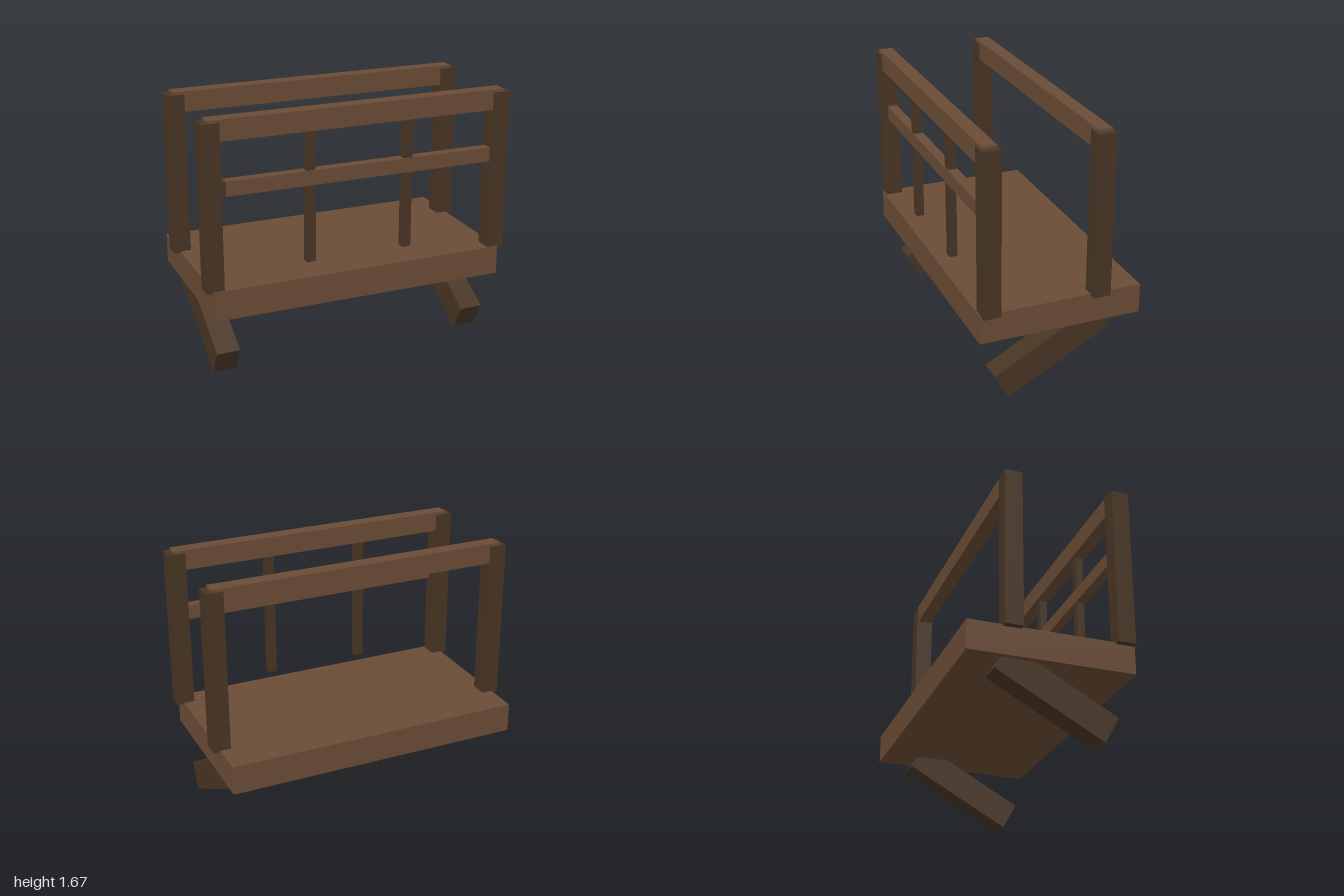
import * as THREE from 'three';

export function createModel() {
  const model = new THREE.Group();
  const lightWood = new THREE.MeshStandardMaterial({ color: 0x6b4c36 });
  lightWood.name = 'brown wood';
  const darkWood = new THREE.MeshStandardMaterial({ color: 0x483524 });
  darkWood.name = 'dark brown wood';

  // Box given by its minimum and maximum corners
  function beam(name, material, [x0, y0, z0], [x1, y1, z1]) {
    const mesh = new THREE.Mesh(new THREE.BoxGeometry(x1 - x0, y1 - y0, z1 - z0), material);
    mesh.position.set((x0 + x1) / 2, (y0 + y1) / 2, (z0 + z1) / 2);
    mesh.name = name;
    model.add(mesh);
    return mesh;
  }

  // Thick platform
  beam('platform', lightWood, [-0.96, 0.437, -0.52], [0.96, 0.625, 0.52]);

  // Front and back frames: two posts and a top rail each
  for (const [side, z] of [['front', 0.455], ['back', -0.245]]) {
    beam(side + 'TopRail', lightWood, [-0.96, 1.54, z - 0.046], [0.96, 1.67, z + 0.046]);
    for (const x of [-0.945, 0.945]) {
      beam(side + 'Post', darkWood, [x - 0.055, 0.615, z - 0.056], [x + 0.055, 1.652, z + 0.056]);
    }
  }

  // Middle rail of the front frame, with a dark stub at its right end
  beam('middleRail', lightWood, [-0.855, 1.2, 0.42], [0.93, 1.292, 0.485]);
  beam('middleRailEnd', darkWood, [-0.93, 1.2, 0.42], [-0.855, 1.292, 0.485]);

  // Hanging balusters
  for (const x of [-0.323, 0.319]) {
    beam('baluster', darkWood, [x - 0.029, 0.708, 0.43], [x + 0.029, 1.57, 0.48]);
  }

  // Slanting legs, reaching forward to the ground
  for (const s of [-1, 1]) {
    const leg = new THREE.Mesh(new THREE.BoxGeometry(0.15, 0.186, 0.759), darkWood);
    leg.name = s > 0 ? 'leftLeg' : 'rightLeg';
    leg.position.set(s * 0.848, 0.265, 0.036);
    leg.rotation.x = 0.502;
    model.add(leg);
  }
  return model;
}
